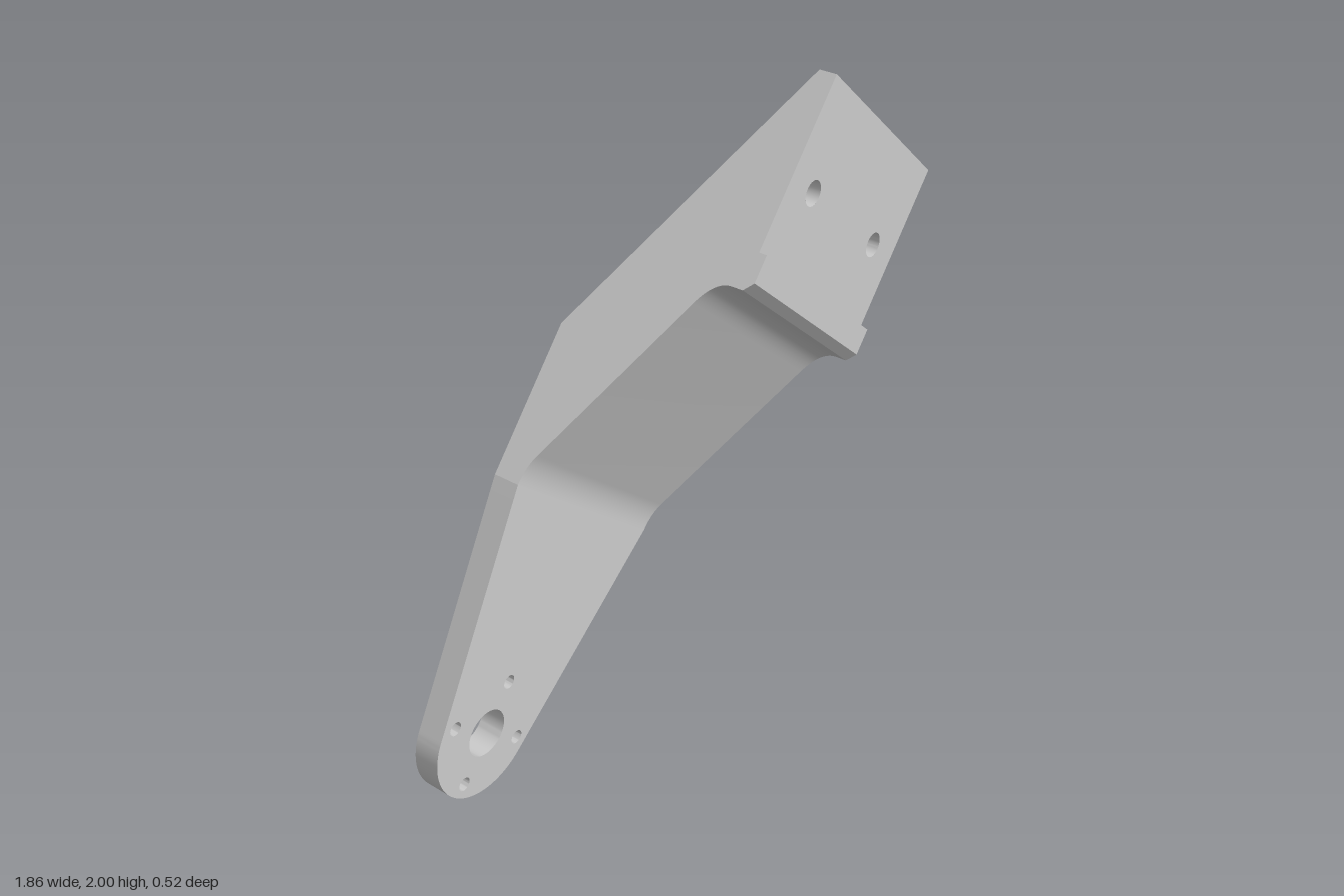
import * as THREE from 'three';
import { mergeGeometries, toCreasedNormals } from 'three/addons/utils/BufferGeometryUtils.js';

// Local frame: x runs along the arm, y across it, z is depth. The group is then tilted.
const W = 0.37, BACK = -0.26, ARM_FRONT = -0.175, TOP = 0.235;
const BEND = 0.717, KNEE = 1.178, END = 2.067;             // stations along the arm
const SLOPE = 0.495, DEPTH = 0.03, HALF = 0.034;           // rear slope and groove size
const BORE_X = 1.771, BORE_R = 0.075, HOLE_R = 0.038, BORE_Z = 0.11;
const GROOVES = [{ y: -0.228, bore: true }, { y: 0, bore: false }, { y: 0.228, bore: true }];
const GROOVE_X = KNEE - DEPTH / SLOPE;                     // where a groove runs out
const A = Math.asin(HALF / BORE_R), DX = BORE_R * Math.cos(A), PI = Math.PI;

const slopeZ = x => BACK + (x - KNEE) * SLOPE;
const rearZ = x => Math.max(BACK, slopeZ(x));
const floorZ = x => slopeZ(x) + DEPTH;

const material = new THREE.MeshStandardMaterial({ color: 0xcccccc, side: THREE.DoubleSide });

const poly = pts => new THREE.Shape(pts.map(p => new THREE.Vector2(p[0], p[1])));
const circle = (x, y, r) => new THREE.Path().absarc(x, y, r, 0, 2 * PI, false);

// Filled shape whose 2D points are mapped into space
function face(shape, map, flip = false) {
  const geo = new THREE.ShapeGeometry(shape, 24);
  const p = geo.attributes.position;
  for (let i = 0; i < p.count; i++) p.setXYZ(i, ...map(p.getX(i), p.getY(i)));
  if (flip) geo.index.array.reverse();
  const flat = geo.toNonIndexed();
  flat.deleteAttribute('uv');
  flat.computeVertexNormals();
  return flat;
}

// Band of quads between two rows of points
function band(a, b) {
  const v = [];
  for (let i = 0; i + 1 < a.length; i++) {
    v.push(...a[i], ...a[i + 1], ...b[i], ...a[i + 1], ...b[i + 1], ...b[i]);
  }
  const geo = new THREE.BufferGeometry();
  geo.setAttribute('position', new THREE.Float32BufferAttribute(v, 3));
  geo.computeVertexNormals();
  return toCreasedNormals(geo, 0.35);
}

// Wall standing along a 2D path between two depth rules
const wall = (pts, lo, hi) => band(pts.map(([x, y]) => [x, y, lo(x)]), pts.map(([x, y]) => [x, y, hi(x)]));

const arc = (x, y, r, from, to, n = 24) => Array.from({ length: n + 1 }, (_, i) => {
  const t = from + (to - from) * i / n;
  return [x + r * Math.cos(t), y + r * Math.sin(t)];
});

// Rounded arm plate with hub hole and four screw holes
function armPlate() {
  const s = new THREE.Shape();
  s.moveTo(BEND, -W);
  s.lineTo(BEND, W);
  s.absarc(0, 0, 0.208, 1.784, 2 * PI - 1.784, false);
  s.holes.push(circle(0, 0, 0.075));
  for (let i = 0; i < 4; i++) {
    s.holes.push(circle(0.163 * Math.cos(i * PI / 2), 0.163 * Math.sin(i * PI / 2), 0.022));
  }
  const geo = new THREE.ExtrudeGeometry(s, { depth: ARM_FRONT - BACK, bevelEnabled: false, curveSegments: 32 });
  geo.translate(0, 0, BACK);
  return toCreasedNormals(geo, 0.4);
}

// Front contour of the block: fillet, ramp, fillet, chamfered rib, step
function frontContour() {
  const path = new THREE.Path();
  path.moveTo(BEND, ARM_FRONT);
  path.quadraticCurveTo(0.771, ARM_FRONT, 0.812, -0.155);
  path.lineTo(1.358, 0.11);
  path.quadraticCurveTo(1.437, 0.148, 1.437, 0.2);
  path.lineTo(1.437, TOP);
  path.lineTo(1.465, 0.26);
  path.lineTo(1.547, 0.26);
  path.lineTo(1.547, TOP);
  return path.getPoints(10).map(p => [p.x, p.y]);
}

// Strip of sloped rear surface between grooves, bitten by the counterbores
function land(y0, y1, bite0, bite1) {
  const s = new THREE.Shape();
  s.moveTo(KNEE, y0);
  if (bite0) s.absarc(BORE_X, y0 - HALF, BORE_R, PI - A, A, true);
  s.lineTo(END, y0);
  s.lineTo(END, y1);
  if (bite1) s.absarc(BORE_X, y1 + HALF, BORE_R, -A, A - PI, true);
  s.lineTo(KNEE, y1);
  return face(s, (x, y) => [x, y, slopeZ(x)], true);
}

// Groove floor and side walls, interrupted where a counterbore crosses
function groove({ y, bore }) {
  const onFloor = s => face(s, (px, py) => [px, py, floorZ(px)], true);
  const lo = y - HALF, hi = y + HALF;
  const parts = [];
  if (bore) {
    const a = new THREE.Shape();
    a.moveTo(GROOVE_X, lo);
    a.absarc(BORE_X, y, BORE_R, PI + A, PI - A, true);
    a.lineTo(GROOVE_X, hi);
    const b = new THREE.Shape();
    b.moveTo(END, hi);
    b.absarc(BORE_X, y, BORE_R, A, -A, true);
    b.lineTo(END, lo);
    parts.push(onFloor(a), onFloor(b));
  } else {
    parts.push(onFloor(poly([[GROOVE_X, lo], [END, lo], [END, hi], [GROOVE_X, hi]])));
  }
  const runs = bore ? [[GROOVE_X, KNEE, BORE_X - DX], [BORE_X + DX, END]] : [[GROOVE_X, KNEE, END]];
  for (const run of runs) {
    parts.push(wall(run.map(x => [x, hi]), rearZ, floorZ));
    parts.push(wall([...run].reverse().map(x => [x, lo]), rearZ, floorZ));
  }
  return mergeGeometries(parts);
}

// Counterbored bolt hole opening through the slope
function boltHole(y) {
  const ring = new THREE.Shape().absarc(BORE_X, y, BORE_R, 0, 2 * PI, false);
  ring.holes.push(circle(BORE_X, y, HOLE_R));
  const seat = () => BORE_Z;
  const bore = (from, to, lo) => wall(arc(BORE_X, y, BORE_R, to, from), lo, seat);
  return mergeGeometries([
    face(ring, (px, py) => [px, py, BORE_Z], true),
    bore(-A, A, floorZ), bore(PI - A, PI + A, floorZ),
    bore(A, PI - A, slopeZ), bore(PI + A, 2 * PI - A, slopeZ),
    wall(arc(BORE_X, y, HOLE_R, 2 * PI, 0, 32), seat, () => TOP),
  ]);
}

export function createModel() {
  const group = new THREE.Group();
  group.name = 'mountingBracket';
  const add = (name, geo) => {
    const mesh = new THREE.Mesh(geo, material);
    mesh.name = name;
    group.add(mesh);
  };

  add('armPlate', armPlate());

  // Ramp and rib across the front
  const contour = frontContour();
  add('frontRampAndRib', band(contour.map(([x, z]) => [x, -W, z]), contour.map(([x, z]) => [x, W, z])));

  // Flat mounting face with bolt holes
  const mount = poly([[1.547, -W], [END, -W], [END, W], [1.547, W]]);
  GROOVES.filter(g => g.bore).forEach(g => mount.holes.push(circle(BORE_X, g.y, HOLE_R)));
  add('mountingFace', face(mount, (x, y) => [x, y, TOP]));

  // Flat sides
  const side = () => poly([[BEND, BACK], [KNEE, BACK], [END, slopeZ(END)], [END, TOP], ...contour.slice().reverse()]);
  add('rightSide', face(side(), (x, z) => [x, W, z], true));
  add('leftSide', face(side(), (x, z) => [x, -W, z]));

  // Notched end and notched rear flat, where the grooves break out
  const notched = (edge, cut) => GROOVES.flatMap(({ y }) =>
    [[y - HALF, edge], [y - HALF, cut], [y + HALF, cut], [y + HALF, edge]]);
  const e = slopeZ(END);
  add('endFace', face(poly([[-W, TOP], [-W, e], ...notched(e, floorZ(END)), [W, e], [W, TOP]]),
    (y, z) => [END, y, z]));
  const rear = [[-W, KNEE], ...notched(KNEE, GROOVE_X), [W, KNEE]].map(([y, x]) => [x, y]);
  add('rearFlat', face(poly([[BEND, -W], ...rear, [BEND, W]]), (x, y) => [x, y, BACK], true));

  // Sloped rear with grooves and counterbores
  for (let i = 0; i <= GROOVES.length; i++) {
    const below = GROOVES[i - 1], above = GROOVES[i];
    add('rearLand', land(below ? below.y + HALF : -W, above ? above.y - HALF : W,
      below && below.bore, above && above.bore));
  }
  for (const g of GROOVES) {
    add('rearGroove', groove(g));
    if (g.bore) add('boltHole', boltHole(g.y));
  }

  group.rotation.z = Math.atan2(0.749, 0.663);
  group.position.set(-0.725, 0.208, 0);
  const model = new THREE.Group();
  model.add(group);
  return model;
}
